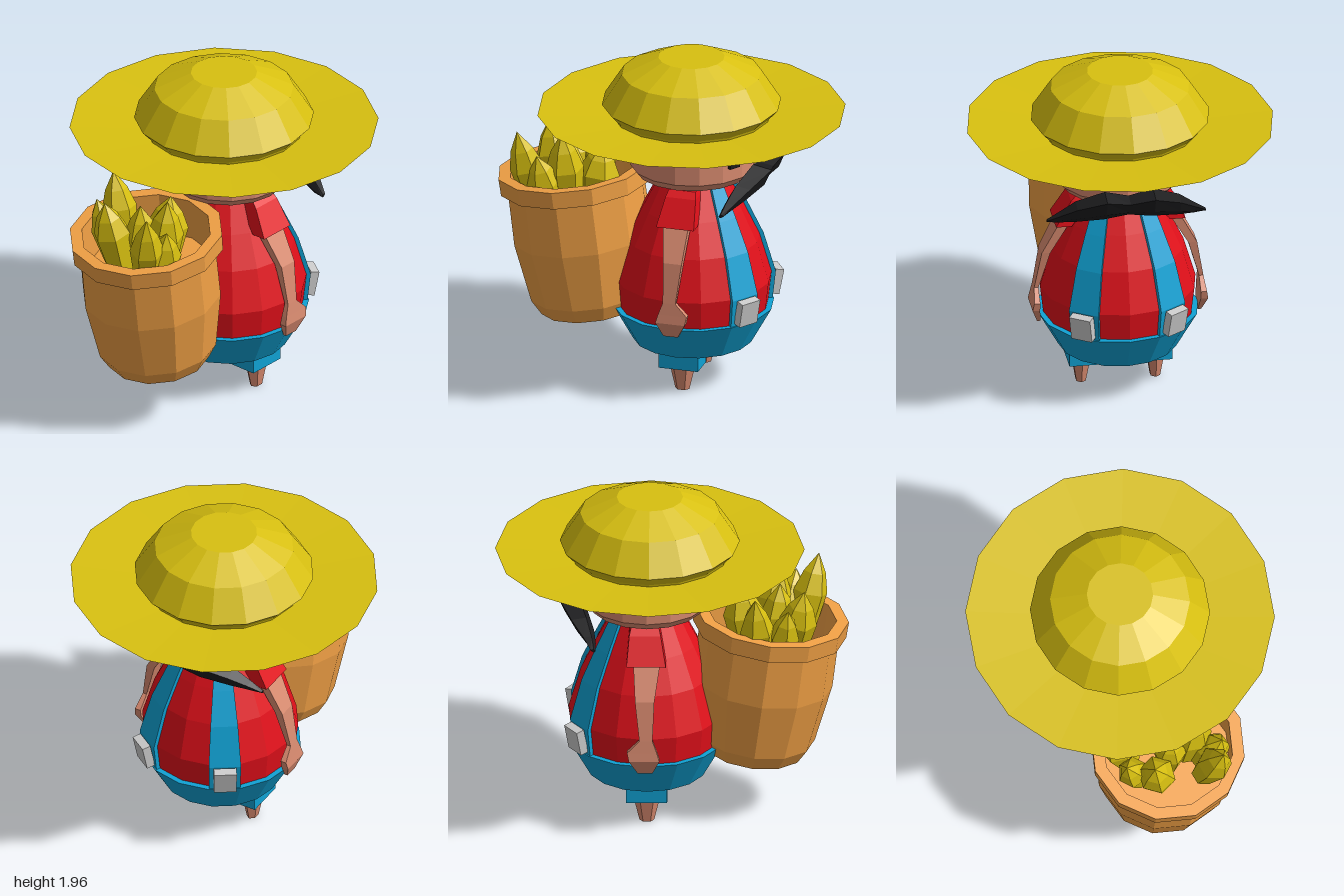
import * as THREE from 'three';

const COLORS = {
  hat: 0xd8c010, skin: 0xd98b70, red: 0xe2101a, blue: 0x10a2d4,
  basket: 0xf0a045, black: 0x1c1c1e, grey: 0xcccccc,
};
const mats = {};
for (const k in COLORS) mats[k] = new THREE.MeshStandardMaterial({ color: COLORS[k], flatShading: true });
mats.brim = mats.hat.clone();
mats.brim.side = THREE.DoubleSide;

function add(parent, name, geometry, mat, pos = [0, 0, 0]) {
  const m = new THREE.Mesh(geometry, mats[mat]);
  m.name = name;
  m.position.set(...pos);
  parent.add(m);
  return m;
}

// Faceted turned shape from [radius, height] pairs
const lathe = (profile, sides) =>
  new THREE.LatheGeometry(profile.map(([r, y]) => new THREE.Vector2(r, y)), sides);

// Skin over a row of rings (each ring counter-clockwise seen from ahead), with caps
function loft(rings) {
  const n = rings[0].length, last = rings.length - 1, index = [];
  for (let i = 0; i < last; i++) {
    for (let j = 0; j < n; j++) {
      const a = i * n + j, b = i * n + (j + 1) % n;
      index.push(a, b, b + n, a, b + n, a + n);
    }
  }
  for (let j = 1; j < n - 1; j++) {
    index.push(0, j + 1, j, last * n, last * n + j, last * n + j + 1);
  }
  const g = new THREE.BufferGeometry();
  g.setAttribute('position', new THREE.Float32BufferAttribute(rings.flat(2), 3));
  g.setIndex(index);
  g.computeVertexNormals();
  return g;
}

// Rectangular limb going down: rows of [y, xMin, xMax, zMin, zMax]
const limb = (rows) => loft(rows.map(([y, x0, x1, z0, z1]) =>
  [[x0, y, z0], [x1, y, z0], [x1, y, z1], [x0, y, z1]]));

const SHIRT = [[0.43, 0.44], [0.45, 0.62], [0.38, 0.86], [0.29, 1.05], [0.195, 1.235]];

// Strap covering one facet of the shirt, from angle a to angle b
function strap(a, b) {
  const at = (r, y, t) => [r * Math.sin(t), y, r * Math.cos(t)];
  return loft(SHIRT.map(([r, y]) =>
    [at(r + 0.025, y, a), at(r + 0.025, y, b), at(r - 0.03, y, b), at(r - 0.03, y, a)]));
}

function buildSide(parent, s) {
  const side = new THREE.Group();
  side.name = s > 0 ? 'rightLimbs' : 'leftLimbs';
  side.scale.z = s;
  parent.add(side);

  // Leg and trouser cuff
  const leg = new THREE.CylinderGeometry(0.085, 0.042, 0.18, 6);
  leg.rotateY(Math.PI / 6);
  leg.scale(1, 1, 0.75);
  add(side, 'leg', leg, 'skin', [0, 0.09, 0.215]);
  add(side, 'trouserCuff', new THREE.BoxGeometry(0.235, 0.11, 0.165), 'blue', [0, 0.2, 0.215]);

  // Sleeve and arm with hand
  add(side, 'sleeve', limb([
    [1.235, -0.07, 0.09, 0.1, 0.25],
    [1.2, -0.08, 0.1, 0.16, 0.285],
    [1.045, -0.11, 0.115, 0.285, 0.375],
  ]), 'red');
  add(side, 'arm', limb([
    [1.09, -0.075, 0.075, 0.27, 0.335],
    [1.04, -0.075, 0.075, 0.295, 0.355],
    [0.86, -0.045, 0.065, 0.4, 0.45],
    [0.63, -0.035, 0.04, 0.465, 0.49],
    [0.56, -0.06, 0.11, 0.465, 0.5],
    [0.51, -0.075, 0.1, 0.465, 0.508],
    [0.42, -0.035, 0.05, 0.455, 0.475],
  ]), 'skin');

  // Overall straps, front and back
  const q = Math.PI / 8;
  add(side, 'frontStrap', strap(2 * q, 3 * q), 'blue');
  add(side, 'backStrap', strap(5 * q, 6 * q), 'blue');

  // Buckle and eye sit on the same facet
  const facet = new THREE.Group();
  facet.name = 'facetDetails';
  facet.rotation.y = -1.5 * q;
  side.add(facet);
  add(facet, 'buckle', new THREE.BoxGeometry(0.05, 0.15, 0.13), 'grey', [0.485, 0.54, 0])
    .rotation.z = -0.2;
  add(facet, 'eye', new THREE.BoxGeometry(0.04, 0.18, 0.07), 'black', [0.357, 1.483, 0]);
  add(facet, 'eyeGlint', new THREE.BoxGeometry(0.01, 0.055, 0.025), 'grey', [0.375, 1.535, -0.005]);
}

// Pointed six-sided crystal from inside the basket to its tip
function crystal(parent, tip, radius) {
  const end = new THREE.Vector3(...tip);
  const base = new THREE.Vector3(-0.54, 0.98, 0.02).lerp(end, 0.65).setY(0.98);
  const dir = end.clone().sub(base), h = dir.length();
  const m = add(parent, 'crystal', lathe([
    [0, 0], [radius * 0.7, 0], [radius, h * 0.55], [radius * 0.65, h * 0.78], [0, h],
  ], 6), 'hat', base.toArray());
  m.quaternion.setFromUnitVectors(new THREE.Vector3(0, 1, 0), dir.normalize());
  m.rotateY(tip[0] * 9);
}

export function createModel() {
  const model = new THREE.Group();
  model.name = 'basketCarrier';

  const body = new THREE.Group();
  body.name = 'body';
  body.position.set(0.13, 0, 0.016);
  model.add(body);

  // Trousers, shirt, neck and head
  add(body, 'trousers', lathe([[0, 0.24], [0.345, 0.24], [0.465, 0.455], [0.4, 0.455]], 16), 'blue');
  add(body, 'shirt', lathe([...SHIRT, [0, 1.235]], 16), 'red');
  add(body, 'neck', new THREE.CylinderGeometry(0.2, 0.18, 0.1, 16), 'skin', [0, 1.25, 0]);
  add(body, 'head', lathe([[0, 1.265], [0.325, 1.265], [0.36, 1.31], [0.36, 1.61], [0, 1.61]], 16), 'skin');

  for (const s of [1, -1]) buildSide(body, s);

  // Moustache: rows of [z, xBack, xFront, yLow, yHigh]
  const half = [
    [0.46, 0.29, 0.32, 1.182, 1.2],
    [0.39, 0.29, 0.36, 1.18, 1.25],
    [0.3, 0.3, 0.43, 1.19, 1.325],
    [0.14, 0.34, 0.51, 1.22, 1.4],
  ];
  const rows = [
    ...half.map(([z, ...rest]) => [-z, ...rest]),
    [0, 0.34, 0.48, 1.235, 1.36],
    ...half.slice().reverse(),
  ];
  add(body, 'moustache', loft(rows.map(([z, x0, x1, y0, y1]) => {
    const h = y1 - y0, w = x1 - x0;
    return [[x0 + w * 0.3, y0, z], [x0 + w * 0.75, y0 + h * 0.35, z], [x1, y1 - h * 0.12, z],
      [x0 + w * 0.35, y1, z], [x0, y0 + h * 0.4, z]];
  })), 'black');

  // Straw hat
  const hat = new THREE.Group();
  hat.name = 'hat';
  hat.position.set(0.115, 0, 0);
  model.add(hat);
  add(hat, 'hatBrim', lathe([[0, 1.602], [0.38, 1.602], [0.885, 1.627]], 16), 'brim');
  add(hat, 'hatCrown', lathe([[0.455, 1.605], [0.46, 1.62], [0.515, 1.68], [0.4, 1.86], [0.19, 1.957], [0, 1.957]], 16), 'hat');

  // Tilted basket with a thick rim and hollow inside
  const basket = new THREE.Group();
  basket.name = 'basket';
  basket.position.set(-0.475, 0.362, 0.02);
  basket.rotation.z = 0.125;
  model.add(basket);
  add(basket, 'basketBody', lathe([[0, 0], [0.295, 0], [0.345, 0.09], [0.402, 0.44], [0.4, 0.76]], 12), 'basket');
  add(basket, 'basketRim', lathe([
    [0.38, 0.755], [0.442, 0.755], [0.445, 0.855], [0.375, 0.855], [0.37, 0.6], [0, 0.6],
  ], 12), 'basket');

  // Crystals heaped in the basket
  for (const [tip, r] of [
    [[-0.85, 1.48, 0.26], 0.1], [[-0.77, 1.42, -0.13], 0.11], [[-0.6, 1.48, 0.2], 0.11],
    [[-0.49, 1.45, -0.31], 0.1], [[-0.63, 1.4, 0.02], 0.1], [[-0.4, 1.38, 0.05], 0.12],
    [[-0.72, 1.36, 0.3], 0.1], [[-0.68, 1.36, -0.27], 0.09],
  ]) crystal(model, tip, r);

  return model;
}
